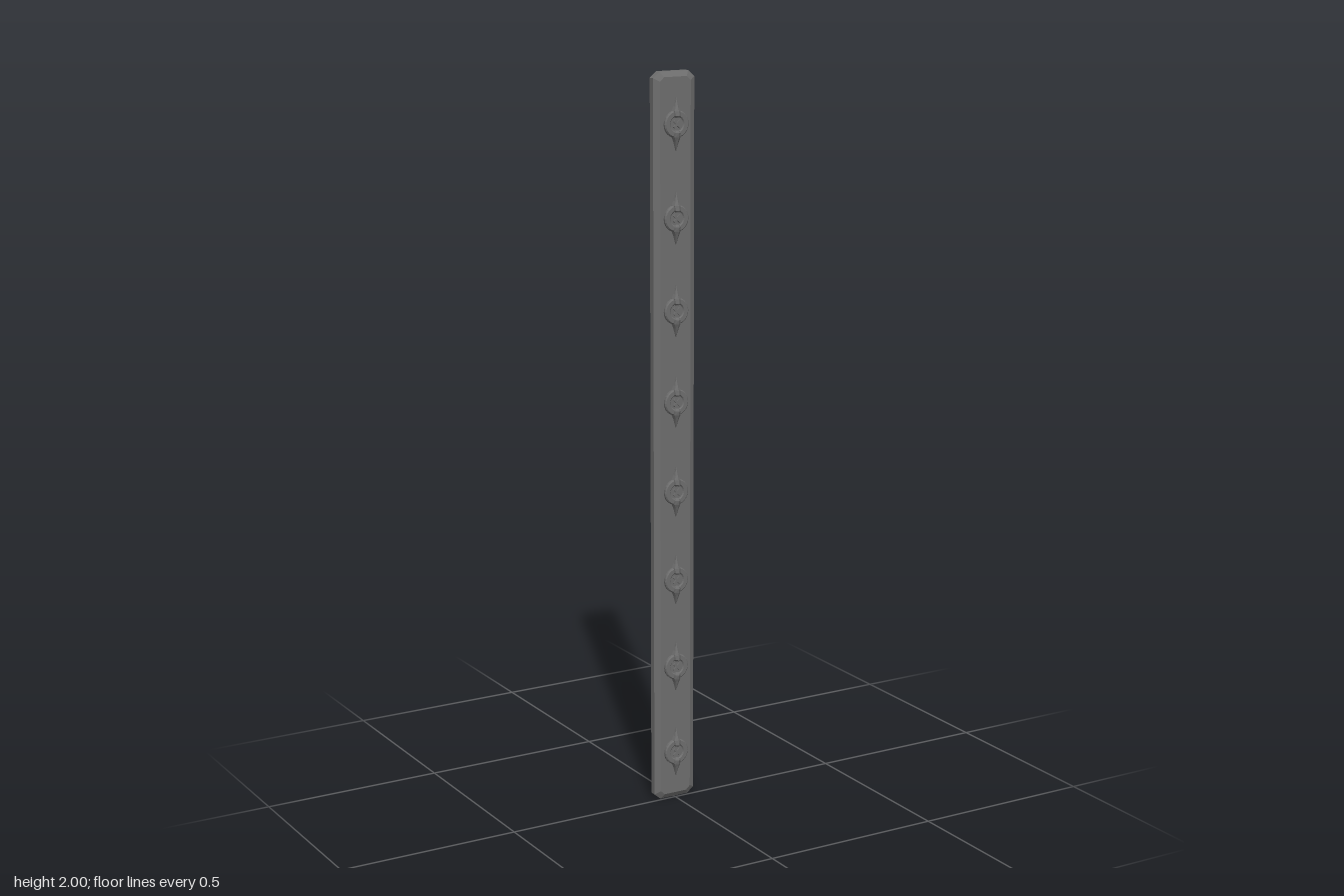
import * as THREE from 'three';

// Surface skinned over cross-sections of equal point count
function loft(sections, closed) {
  const n = sections[0].length, pos = [], idx = [];
  sections.forEach(s => s.forEach(p => pos.push(...p)));
  for (let i = 0; i < sections.length - 1; i++) {
    for (let j = 0; j < (closed ? n : n - 1); j++) {
      const a = i * n + j, b = i * n + (j + 1) % n;
      idx.push(a, b, b + n, a, b + n, a + n);
    }
  }
  const g = new THREE.BufferGeometry();
  g.setAttribute('position', new THREE.Float32BufferAttribute(pos, 3));
  g.setIndex(idx);
  const flat = g.toNonIndexed();
  flat.computeVertexNormals();
  return flat;
}

// Rectangle with clipped corners, anticlockwise
function clippedRect(w, h, cx, cy) {
  return [[w, -h + cy], [w, h - cy], [w - cx, h], [-w + cx, h],
    [-w, h - cy], [-w, -h + cy], [-w + cx, -h], [w - cx, -h]];
}

export function createModel() {
  const metal = new THREE.MeshStandardMaterial({ color: 0x6e6e6e, side: THREE.DoubleSide });
  const group = new THREE.Group();
  const add = (parent, geometry, name) => {
    const mesh = new THREE.Mesh(geometry, metal);
    mesh.name = name;
    parent.add(mesh);
    return mesh;
  };

  // Hollow pressed strip, open at the back
  const outer = clippedRect(0.062, 1, 0.019, 0.016);
  const inner = clippedRect(0.046, 0.986, 0.012, 0.011);
  const ring = (pts, z) => pts.map(([x, y]) => [x, y + 1, z]);
  add(group, loft([ring(outer, -0.025), ring(outer, -0.008), ring(inner, 0.001)], true), 'stripRim');
  const face = new THREE.Shape(inner.map(([x, y]) => new THREE.Vector2(x, y + 1)));
  add(group, new THREE.ShapeGeometry(face), 'stripFace').position.z = 0.001;

  // Washer with a dished centre, turned to face forward
  const washer = new THREE.LatheGeometry([
    [0.036, 0], [0.036, 0.006], [0.033, 0.009], [0.022, 0.009], [0.019, 0.006], [0, 0.006],
  ].map(p => new THREE.Vector2(...p)), 24).rotateX(Math.PI / 2).toNonIndexed();
  washer.computeVertexNormals();

  // Keeled point: distance from centre, half width, height
  const point = loft([
    [0.016, 0, 0.006], [0.017, 0.007, 0.018], [0.022, 0.011, 0.021],
    [0.034, 0.012, 0.018], [0.046, 0.007, 0.013], [0.07, 0, 0.003],
  ].map(([y, w, h]) => [[-w, y, 0], [-w * 0.7, y, h * 0.65], [0, y, h], [w * 0.7, y, h * 0.65], [w, y, 0]]), false);

  for (let i = 0; i < 8; i++) {
    const stud = new THREE.Group();
    stud.name = 'ornament';
    stud.position.set(0, 0.135 + i * 0.247, 0.001);
    add(stud, washer, 'washer');
    add(stud, point, 'upperPoint');
    add(stud, point, 'lowerPoint').rotation.z = Math.PI;
    // Small raised cross in the dished centre
    for (const turn of [1, -1]) {
      const bar = add(stud, new THREE.BoxGeometry(0.026, 0.006, 0.005), 'crossBar');
      bar.position.z = 0.008;
      bar.rotation.z = turn * Math.PI / 4;
    }
    group.add(stud);
  }
  return group;
}
